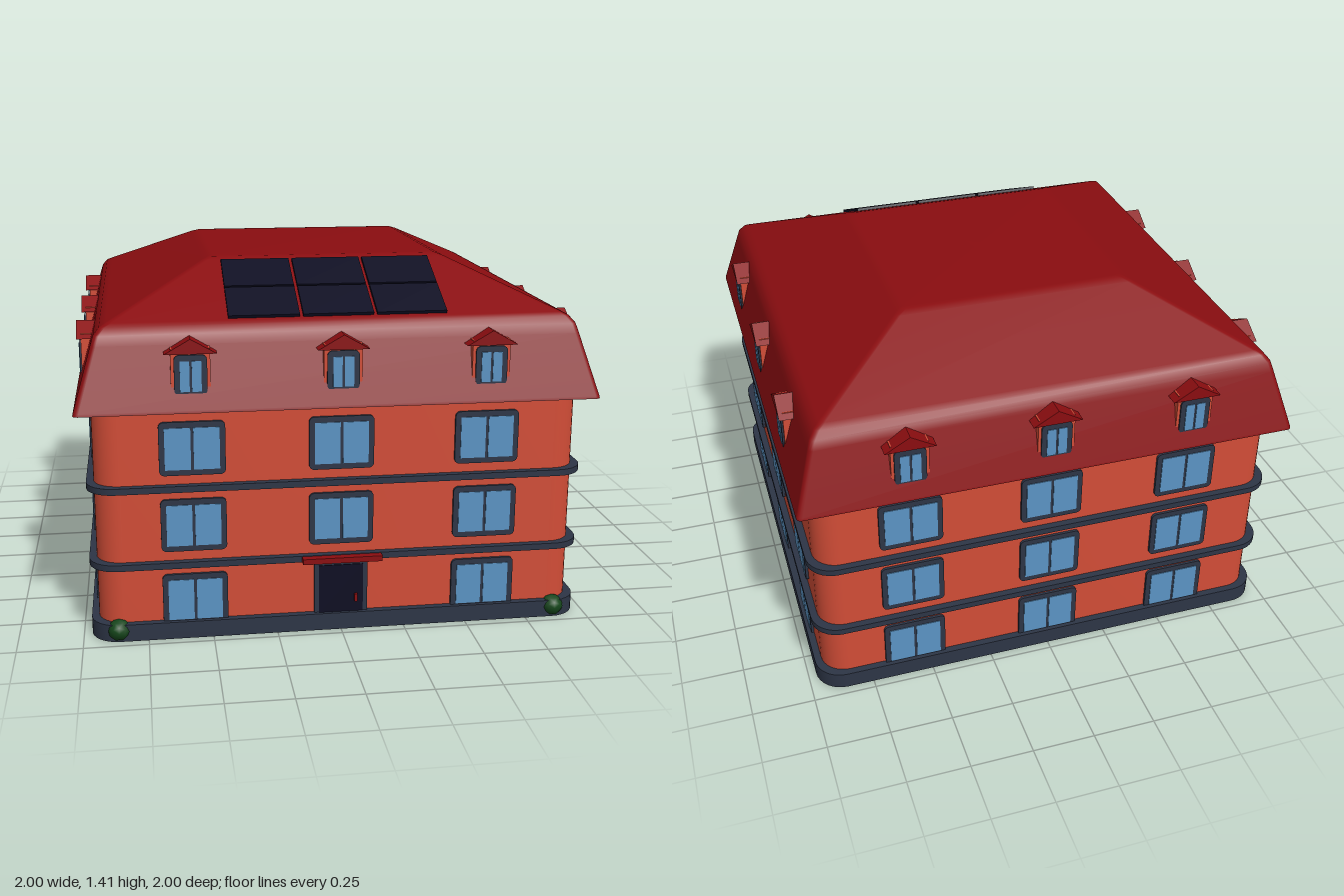
import * as THREE from 'three';
import { toCreasedNormals } from 'three/addons/utils/BufferGeometryUtils.js';

const mat = (name, color) => {
  const m = new THREE.MeshStandardMaterial({ color });
  m.name = name;
  return m;
};

// Rounded rectangle outline centred on the origin
function roundedRect(w, h, r) {
  const s = new THREE.Shape(), x = w / 2, y = h / 2;
  s.absarc(x - r, y - r, r, 0, Math.PI / 2);
  s.absarc(-x + r, y - r, r, Math.PI / 2, Math.PI);
  s.absarc(-x + r, -y + r, r, Math.PI, Math.PI * 1.5);
  s.absarc(x - r, -y + r, r, Math.PI * 1.5, Math.PI * 2);
  s.closePath();
  return s;
}

// Smooth skin through rounded-square rings of [half width, height]
function loftSquares(rings, cornerRadius) {
  const seg = 3, n = 4 * (seg + 1), pos = [], idx = [];
  for (const [half, y] of rings) {
    const r = Math.min(cornerRadius, half), c = half - r;
    for (let q = 0; q < 4; q++) {
      const sx = q === 0 || q === 3 ? 1 : -1, sy = q < 2 ? 1 : -1;
      for (let k = 0; k <= seg; k++) {
        const a = (q + k / seg) * Math.PI / 2;
        pos.push(sx * c + r * Math.cos(a), y, -(sy * c + r * Math.sin(a)));
      }
    }
  }
  for (let i = 0; i < rings.length - 1; i++) {
    for (let j = 0; j < n; j++) {
      const a = i * n + j, b = i * n + (j + 1) % n;
      idx.push(a, b, b + n, a, b + n, a + n);
    }
  }
  const g = new THREE.BufferGeometry();
  g.setAttribute('position', new THREE.Float32BufferAttribute(pos, 3));
  g.setIndex(idx);
  g.computeVertexNormals();
  return g;
}

export function createModel() {
  const wall = mat('brick orange', 0xd24d37);
  const trim = mat('slate trim', 0x2d3546);
  const glass = mat('window blue', 0x5b94c4);
  const red = mat('roof red', 0x8a0d10);
  const dark = mat('door and panel navy', 0x0d0d22);
  const green = mat('bush green', 0x14451a);

  const model = new THREE.Group();
  model.name = 'apartmentHouse';

  const add = (parent, name, geo, material, x = 0, y = 0, z = 0) => {
    const m = new THREE.Mesh(geo, material);
    m.name = name;
    m.position.set(x, y, z);
    parent.add(m);
    return m;
  };
  const box = (w, h, d) => new THREE.BoxGeometry(w, h, d);
  const extrude = (shape, depth) =>
    new THREE.ExtrudeGeometry(shape, { depth, bevelEnabled: false, curveSegments: 4 });
  const slab = (name, half, r, y0, y1, material) => {
    const g = extrude(roundedRect(half * 2, half * 2, r), y1 - y0).rotateX(-Math.PI / 2);
    add(model, name, toCreasedNormals(g, 0.6), material, 0, y0, 0);
  };

  // Storeys, plinth and string courses
  slab('walls', 0.94, 0.1, 0, 0.93, wall);
  slab('plinth', 0.968, 0.11, 0.002, 0.07, trim);
  slab('lowerBand', 0.968, 0.11, 0.29, 0.315, trim);
  slab('upperBand', 0.968, 0.11, 0.595, 0.62, trim);

  // Mansard roof with softened bends and a flat underside
  add(model, 'roof', loftSquares([
    [0.001, 0.91], [1, 0.91]], 0.02), red);
  add(model, 'roofSlopes', loftSquares([
    [1, 0.91], [0.998, 0.92], [0.928, 1.155], [0.917, 1.19], [0.895, 1.217],
    [0.87, 1.229], [0.49, 1.401], [0.46, 1.411], [0.44, 1.412], [0.001, 1.412]], 0.02), red);

  // Shared window and dormer geometry
  const frameGeo = extrude(roundedRect(0.25, 0.208, 0.02), 0.03);
  const paneGeo = box(0.098, 0.163, 0.006);
  const dormerFrameGeo = extrude(roundedRect(0.122, 0.15, 0.02), 0.02);
  const dormerPaneGeo = box(0.035, 0.115, 0.006);
  const gable = new THREE.Shape([
    new THREE.Vector2(-0.098, 0), new THREE.Vector2(0.098, 0), new THREE.Vector2(0, 0.056)]);
  const gableGeo = extrude(gable, 0.145);

  const addWindow = (side, x, y) => {
    const w = new THREE.Group();
    w.name = 'window';
    w.position.set(x, y, 0.951);
    add(w, 'windowFrame', frameGeo, trim, 0, 0, -0.03);
    for (const s of [-1, 1]) add(w, 'windowPane', paneGeo, glass, s * 0.0545, 0, 0);
    side.add(w);
  };
  const addDormer = (side, x) => {
    const d = new THREE.Group();
    d.name = 'dormer';
    d.position.x = x;
    add(d, 'dormerBody', box(0.146, 0.155, 0.13), wall, 0, 1.07, 0.908);
    add(d, 'dormerFrame', dormerFrameGeo, trim, 0, 1.05, 0.96);
    for (const s of [-1, 1]) add(d, 'dormerPane', dormerPaneGeo, glass, s * 0.022, 1.045, 0.98);
    add(d, 'dormerRoof', gableGeo, red, 0, 1.13, 0.845);
    side.add(d);
  };

  // Four facades; the front one leaves room for the door
  ['front', 'left', 'back', 'right'].forEach((label, k) => {
    const side = new THREE.Group();
    side.name = label + 'Facade';
    side.rotation.y = k * Math.PI / 2;
    for (const x of [-0.567, 0, 0.567]) {
      for (const y of [0.156, 0.458, 0.761]) {
        if (k === 0 && x === 0 && y < 0.2) continue;
        addWindow(side, x, y);
      }
      addDormer(side, x);
    }
    model.add(side);
  });

  // Entrance
  add(model, 'doorFrame', extrude(roundedRect(0.21, 0.25, 0.015), 0.03), trim, 0, 0.155, 0.921);
  add(model, 'door', box(0.174, 0.2, 0.008), dark, 0, 0.166, 0.951);
  add(model, 'doorHandle', box(0.012, 0.03, 0.014), red, 0.058, 0.13, 0.962);
  add(model, 'canopy', box(0.31, 0.022, 0.08), red, 0, 0.302, 0.96);

  // Solar array laid on the front roof slope
  const solar = new THREE.Group();
  solar.name = 'solarArray';
  solar.position.set(0, 1.317, 0.684);
  solar.rotation.x = Math.atan2(0.172, 0.38);
  for (let i = -1; i <= 1; i++) {
    for (const s of [-1, 1]) {
      add(solar, 'solarPanel', box(0.27, 0.012, 0.19), dark, i * 0.283, 0.003, s * 0.1);
    }
  }
  model.add(solar);

  // Corner bushes
  for (const s of [-1, 1]) {
    const bush = add(model, 'bush', new THREE.IcosahedronGeometry(0.046, 1).toNonIndexed(),
      green, s * 0.863, 0.043, 0.943);
    bush.scale.y = 0.92;
  }
  return model;
}
